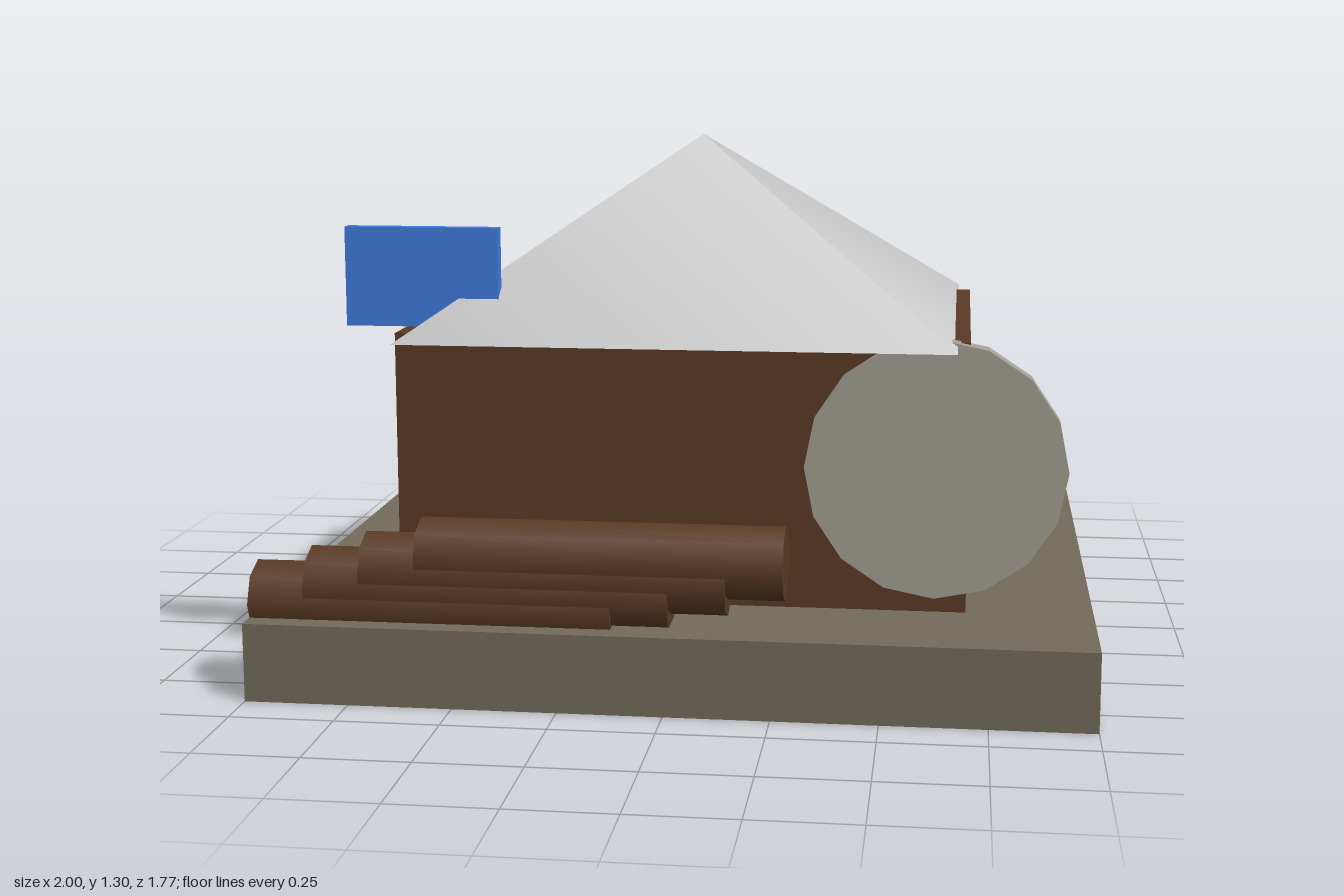
import * as THREE from 'three';

export function createModel() {
  const model = new THREE.Group();
  model.name = 'hut';

  const material = (color) => new THREE.MeshStandardMaterial({ color });
  const earth = material(0x736b5b);
  const wood = material(0x5a3a24);
  const roofGrey = material(0xcccccc);
  const stone = material(0xa3a093);
  const blue = material(0x407be0);

  const add = (name, geometry, mat, x, y, z) => {
    const mesh = new THREE.Mesh(geometry, mat);
    mesh.name = name;
    mesh.position.set(x, y, z);
    model.add(mesh);
    return mesh;
  };

  const houseZ = 0.075;

  // Ground slab and walls
  add('groundSlab', new THREE.BoxGeometry(2, 0.19, 1.77), earth, 0, 0.095, 0);
  add('walls', new THREE.BoxGeometry(1.39, 0.655, 1.02), wood, 0, 0.5175, houseZ);

  // Pyramid roof, square to the walls
  const roof = new THREE.ConeGeometry(0.665 * Math.SQRT2, 0.465, 4).rotateY(Math.PI / 4);
  add('roof', roof, roofGrey, 0, 1.0725, houseZ);

  // Round stone disc leaning on the front corner
  const disc = new THREE.CylinderGeometry(0.313, 0.313, 0.06, 16).rotateX(Math.PI / 2);
  add('stoneDisc', disc, stone, 0.618, 0.543, 0.585);

  // Blue sign board at the roof edge
  add('signBoard', new THREE.BoxGeometry(0.375, 0.24, 0.036), blue, -0.62, 0.985, 0.587);

  // Staggered pile of logs, each one higher and further along
  const log = new THREE.CylinderGeometry(0.09, 0.09, 0.87, 8).rotateZ(Math.PI / 2);
  for (let i = 0; i < 4; i++) {
    add(`log${i + 1}`, log, wood, -0.565 + i * 0.135, 0.224 + i * 0.039, 0.755);
  }

  return model;
}
